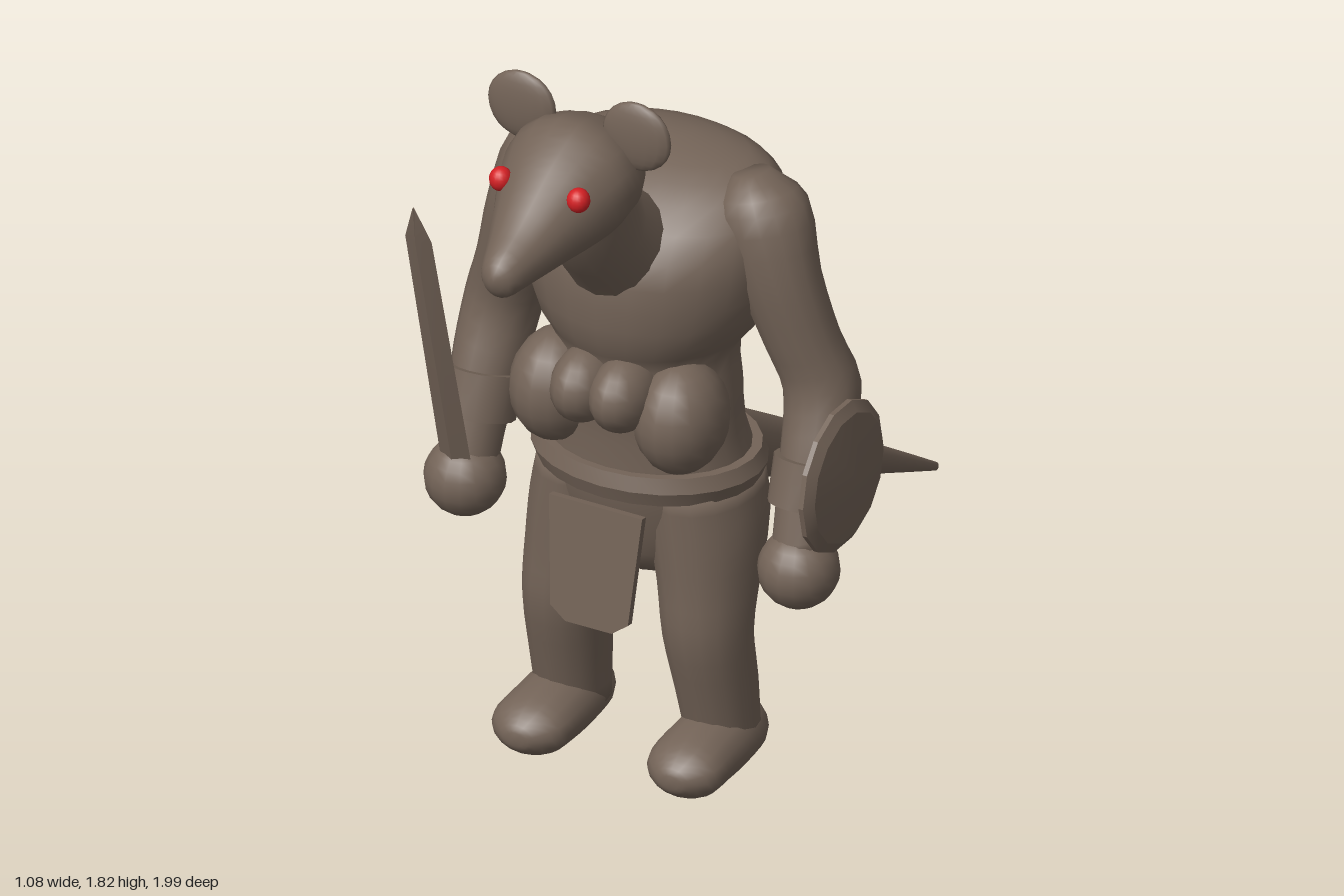
import * as THREE from 'three';
import { toCreasedNormals } from 'three/addons/utils/BufferGeometryUtils.js';

const brown = new THREE.MeshStandardMaterial({ color: 0x736357 });
brown.name = 'brown';
const red = new THREE.MeshStandardMaterial({ color: 0xd42024 });
red.name = 'red';

// Closed skin over elliptical rings [x, y, z, radiusAcross, radiusDeep].
function sweep(rows, { sides = 16, sub = 3, axis = null } = {}) {
  const centres = rows.map(r => new THREE.Vector3(r[0], r[1], r[2]));
  const radii = rows.map(r => new THREE.Vector3(r[3], r[4], 0));
  const spine = new THREE.CatmullRomCurve3(centres, false, 'catmullrom', 0.5);
  const girth = new THREE.CatmullRomCurve3(radii, false, 'catmullrom', 0.5);
  const n = (rows.length - 1) * sub;
  const pos = [], idx = [];
  const across = new THREE.Vector3(), deep = new THREE.Vector3();
  for (let i = 0; i <= n; i++) {
    const c = spine.getPoint(i / n), r = girth.getPoint(i / n);
    const t = axis ? new THREE.Vector3(...axis).normalize() : spine.getTangent(i / n);
    across.set(1, 0, 0).addScaledVector(t, -t.x).normalize();
    deep.crossVectors(t, across);
    for (let j = 0; j < sides; j++) {
      const a = (j / sides) * Math.PI * 2;
      const p = c.clone()
        .addScaledVector(across, Math.cos(a) * Math.max(r.x, 0.002))
        .addScaledVector(deep, Math.sin(a) * Math.max(r.y, 0.002));
      pos.push(p.x, p.y, p.z);
    }
  }
  const first = pos.length / 3, last = first + 1;
  pos.push(...centres[0].toArray(), ...centres[centres.length - 1].toArray());
  for (let j = 0; j < sides; j++) {
    const k = (j + 1) % sides;
    for (let i = 0; i < n; i++) {
      const a = i * sides + j, b = i * sides + k;
      idx.push(a, b, b + sides, a, b + sides, a + sides);
    }
    idx.push(first, k, j, last, n * sides + j, n * sides + k);
  }
  const g = new THREE.BufferGeometry();
  g.setAttribute('position', new THREE.Float32BufferAttribute(pos, 3));
  g.setIndex(idx);
  g.computeVertexNormals();
  return g;
}

export function createModel() {
  const model = new THREE.Group();
  const body = new THREE.Group();
  body.name = 'body';
  body.position.x = -0.02;
  model.add(body);

  const add = (name, geometry, material = brown) => {
    const m = new THREE.Mesh(geometry, material);
    m.name = name;
    body.add(m);
    return m;
  };
  const ball = (name, x, y, z, rx, ry, rz, material = brown) => {
    const m = add(name, new THREE.SphereGeometry(1, 16, 12), material);
    m.position.set(x, y, z);
    m.scale.set(rx, ry, rz);
    return m;
  };

  // Hunched torso: height, half width, front z, back z
  const torso = [
    [0.47, 0.06, 0.34, 0.24], [0.52, 0.16, 0.42, 0.16], [0.62, 0.23, 0.46, 0.11],
    [0.75, 0.25, 0.49, 0.09], [0.86, 0.23, 0.49, 0.12], [0.96, 0.225, 0.5, 0.12],
    [1.06, 0.21, 0.5, 0.1], [1.13, 0.26, 0.53, 0.035], [1.23, 0.3, 0.54, 0.0],
    [1.35, 0.31, 0.52, 0.0], [1.45, 0.28, 0.41, 0.03], [1.5, 0.19, 0.31, 0.08],
    [1.52, 0.05, 0.22, 0.15],
  ].map(([y, w, f, b]) => [0, y, (f + b) / 2, w, (f - b) / 2]);
  add('torso', sweep(torso, { sides: 24, sub: 2, axis: [0, 1, 0] }));

  // Neck and long-snouted head
  add('neck', sweep([
    [0, 1.24, 0.34, 0.15, 0.14], [0, 1.36, 0.45, 0.13, 0.13],
    [0, 1.47, 0.56, 0.11, 0.115], [0, 1.58, 0.62, 0.11, 0.11],
  ]));
  add('head', sweep([
    [0, 1.61, 0.482, 0.02, 0.02], [0, 1.62, 0.515, 0.105, 0.09],
    [0, 1.62, 0.58, 0.15, 0.128], [0, 1.62, 0.66, 0.16, 0.147],
    [0, 1.6, 0.74, 0.138, 0.133], [0, 1.575, 0.81, 0.108, 0.11],
    [0, 1.54, 0.9, 0.073, 0.075], [0, 1.518, 0.975, 0.045, 0.05],
    [0, 1.518, 1.0, 0.012, 0.015],
  ], { sides: 18, axis: [0, 0, 1] }));

  // Tail
  add('tail', sweep([
    [0, 0.7, 0.16, 0.085, 0.085], [0, 0.655, 0.04, 0.082, 0.085],
    [0, 0.41, -0.4, 0.055, 0.06], [0, 0.19, -0.8, 0.026, 0.027],
    [0, 0.085, -0.99, 0.008, 0.01],
  ], { sides: 12 }));

  for (const s of [1, -1]) {
    const side = s > 0 ? 'left' : 'right';
    const flip = rows => rows.map(([x, ...rest]) => [x * s, ...rest]);

    ball(side + 'Eye', s * 0.1, 1.655, 0.79, 0.027, 0.029, 0.027, red);
    ball(side + 'Ear', s * 0.148, 1.745, 0.61, 0.088, 0.085, 0.024);
    ball(side + 'BellyBulge', s * 0.16, 0.945, 0.43, 0.105, 0.135, 0.125);
    ball(side + 'BellyLobe', s * 0.05, 1.005, 0.49, 0.075, 0.09, 0.108);

    // Arm, hand and cuff
    add(side + 'Arm', sweep(flip([
      [0.23, 1.5, 0.24, 0.04, 0.05], [0.265, 1.43, 0.255, 0.11, 0.105],
      [0.32, 1.28, 0.275, 0.1, 0.09], [0.37, 1.12, 0.255, 0.09, 0.085],
      [0.41, 1.0, 0.235, 0.09, 0.088], [0.422, 0.87, 0.28, 0.084, 0.085],
      [0.425, 0.75, 0.33, 0.072, 0.072], [0.43, 0.64, 0.365, 0.07, 0.07],
    ]), { axis: [s * 0.25, -1, 0.1] }));
    ball(side + 'Hand', s * 0.43, 0.605, 0.375, 0.094, 0.093, 0.095);
    const cuff = add(side + 'Cuff', toCreasedNormals(
      new THREE.CylinderGeometry(0.09, 0.088, 0.11, 16), 0.6));
    cuff.position.set(s * 0.424, 0.795, 0.315);
    cuff.rotation.x = -0.3;

    // Leg and foot
    add(side + 'Leg', sweep(flip([
      [0.14, 0.74, 0.29, 0.12, 0.17], [0.155, 0.62, 0.295, 0.127, 0.165],
      [0.17, 0.5, 0.325, 0.113, 0.135], [0.18, 0.37, 0.348, 0.102, 0.112],
      [0.188, 0.22, 0.322, 0.093, 0.103], [0.193, 0.08, 0.3, 0.085, 0.09],
    ]), { axis: [0, -1, 0] }));
    add(side + 'Foot', sweep(flip([
      [0.197, 0.085, 0.2, 0.02, 0.02], [0.197, 0.085, 0.225, 0.07, 0.068],
      [0.197, 0.088, 0.31, 0.09, 0.082], [0.197, 0.084, 0.42, 0.095, 0.076],
      [0.2, 0.078, 0.5, 0.09, 0.062], [0.2, 0.076, 0.545, 0.045, 0.032],
      [0.2, 0.076, 0.555, 0.01, 0.01],
    ]), { axis: [0, 0, 1] }));
  }

  // Belt
  const beltProfile = [[0.85, 0.73], [0.95, 0.73], [1, 0.765], [0.95, 0.8], [0.85, 0.8]]
    .map(p => new THREE.Vector2(...p));
  const belt = new THREE.LatheGeometry(beltProfile, 24);
  belt.scale(0.28, 1, 0.225);
  add('belt', toCreasedNormals(belt, 0.5)).position.z = 0.295;

  // Loincloth flaps
  const flap = (name, length, z, tilt) => {
    const shape = new THREE.Shape([
      [-0.12, 0], [-0.1, -length + 0.03], [-0.06, -length],
      [0.06, -length], [0.1, -length + 0.03], [0.12, 0],
    ].map(p => new THREE.Vector2(...p)));
    const g = new THREE.ExtrudeGeometry(shape, { depth: 0.018, bevelEnabled: false });
    g.translate(0, 0, -0.009);
    const m = add(name, g);
    m.position.set(0, 0.72, z);
    m.rotation.x = tilt;
  };
  flap('frontFlap', 0.295, 0.53, -0.11);
  flap('rearFlap', 0.26, 0.065, 0.13);

  // Sword blade held upright in the right hand
  add('swordBlade', toCreasedNormals(sweep([
    [-0.43, 0.62, 0.405, 0.04, 0.018], [-0.43, 1.31, 0.585, 0.034, 0.015],
    [-0.43, 1.4, 0.608, 0.002, 0.002],
  ], { sides: 4, sub: 1, axis: [0, 1, 0.24] }), 0.3));

  // Round shield on the left forearm
  const shieldProfile = [[0, -0.03], [0.15, -0.02], [0.18, -0.006], [0.18, 0.006], [0.155, 0.022], [0, 0.045]]
    .map(p => new THREE.Vector2(...p));
  const shield = add('shield', toCreasedNormals(new THREE.LatheGeometry(shieldProfile, 14), 0.3));
  shield.position.set(0.515, 0.845, 0.335);
  shield.rotation.z = -Math.PI / 2;

  return model;
}
